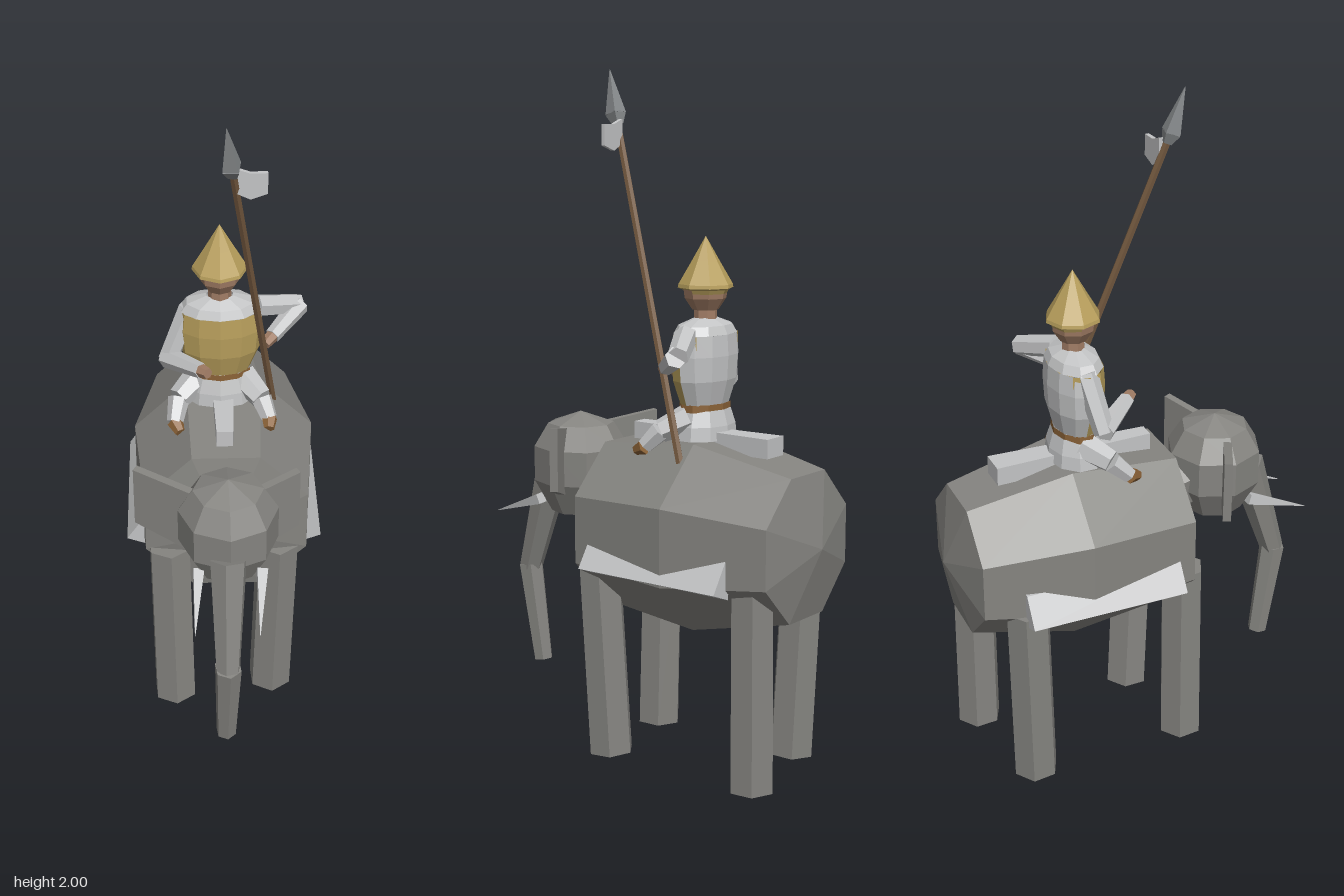
import * as THREE from 'three';

const mat = (name, color, side = THREE.FrontSide) =>
  new THREE.MeshStandardMaterial({ name, color, side, flatShading: true });

export function createModel() {
  const hide = mat('elephantGrey', 0x858480);
  const cloth = mat('paleCloth', 0xc3c4c5, THREE.DoubleSide);
  const gold = mat('gold', 0xb89f5c, THREE.DoubleSide);
  const skin = mat('skin', 0xa07c64);
  const leather = mat('leather', 0x8c6338);
  const wood = mat('wood', 0x755a40);
  const steel = mat('steel', 0x85888a);

  const root = new THREE.Group();
  root.name = 'elephantRider';
  const V = (p) => new THREE.Vector3(...p);

  const add = (parent, name, geometry, material, pos = [0, 0, 0]) => {
    const mesh = new THREE.Mesh(geometry, material);
    mesh.name = name;
    mesh.position.set(...pos);
    parent.add(mesh);
    return mesh;
  };
  // Tapered prism running from a to b
  const limb = (name, a, b, ra, rb, material, sides = 6) => {
    const d = V(b).sub(V(a));
    const mesh = add(root, name, new THREE.CylinderGeometry(rb, ra, d.length(), sides), material);
    mesh.position.copy(V(a)).addScaledVector(d, 0.5);
    mesh.quaternion.setFromUnitVectors(new THREE.Vector3(0, 1, 0), d.normalize());
    return mesh;
  };
  const lathe = (pts, sides, start = 0, sweep = Math.PI * 2) =>
    new THREE.LatheGeometry(pts.map(([r, y]) => new THREE.Vector2(r, y)), sides, start, sweep);
  // Profile in x/y extruded along z
  const prism = (pts, z0, z1) => {
    const shape = new THREE.Shape(pts.map(([x, y]) => new THREE.Vector2(x, y)));
    return new THREE.ExtrudeGeometry(shape, { depth: z1 - z0, bevelEnabled: false }).translate(0, 0, z0);
  };

  // Mount frame: z forward, x to its left
  const mount = new THREE.Group();
  mount.name = 'mount';
  mount.rotation.y = 0.963;
  root.add(mount);

  // Barrel body with flat octagonal sections
  const bodyGeo = lathe([[0, -0.54], [0.222, -0.49], [0.292, -0.18], [0.258, 0.15], [0, 0.2]], 8, Math.PI / 8);
  add(mount, 'body', bodyGeo.rotateX(Math.PI / 2), hide, [-0.02, 0.69, 0]);

  // Side panels
  for (const s of [-1, 1]) {
    const pts = [[s * 0.22, 0.565], [s * 0.29, 0.592], [s * 0.235, 0.675], [s * 0.22, 0.675]];
    add(mount, s < 0 ? 'rightPanel' : 'leftPanel', prism(pts, -0.375, 0.1), cloth, [-0.025, 0, 0]);
  }
  // Saddle strip, narrowing toward the front
  const saddle = new THREE.BoxGeometry(0.08, 0.055, 0.48);
  const sp = saddle.attributes.position;
  for (let i = 0; i < sp.count; i++) if (sp.getZ(i) > 0) sp.setX(i, sp.getX(i) * 0.6);
  add(mount, 'saddle', saddle, cloth, [-0.022, 0.957, -0.14]);

  // Legs: foot [x, z] then top [x, z]
  [
    ['backRightLeg', -0.385, -0.035, -0.412, -0.03],
    ['backLeftLeg', -0.265, -0.33, -0.262, -0.33],
    ['frontRightLeg', 0.02, 0.235, 0.008, 0.235],
    ['frontLeftLeg', 0.15, -0.04, 0.182, -0.035],
  ].forEach(([n, x, z, tx, tz]) => limb(n, [x, 0.005, z], [tx, 0.6, tz], 0.068, 0.066, hide));

  // Head, neck, ears
  add(root, 'head', lathe([[0, 0.67], [0.09, 0.685], [0.142, 0.78], [0.142, 0.885], [0.1, 0.955], [0, 0.99]], 8, 0.2),
    hide, [0.255, 0, 0.2]);
  limb('neck', [0.12, 0.77, 0.09], [0.24, 0.82, 0.19], 0.09, 0.08, hide);
  const ear = (name, [ax, az], [bx, bz]) => {
    const len = Math.hypot(bx - ax, bz - az);
    const shape = [[0, 0.78], [len, 0.735], [len, 0.945], [0, 0.97]];
    const mesh = add(root, name, prism(shape, -0.012, 0.012), hide, [ax, 0, az]);
    mesh.rotation.y = -Math.atan2(bz - az, bx - ax);
  };
  ear('rightEar', [0.037, 0.365], [0.19, 0.28]);
  ear('leftEar', [0.318, 0.002], [0.295, 0.15]);

  // Trunk and tusks
  limb('upperTrunk', [0.345, 0.8, 0.265], [0.428, 0.47, 0.328], 0.055, 0.036, hide);
  limb('lowerTrunk', [0.428, 0.48, 0.328], [0.39, 0.175, 0.308], 0.04, 0.03, hide);
  limb('leftTusk', [0.375, 0.725, 0.17], [0.525, 0.658, 0.29], 0.022, 0.001, cloth, 4);
  limb('rightTusk', [0.27, 0.725, 0.315], [0.42, 0.658, 0.435], 0.022, 0.001, cloth, 4);

  // Rider, facing the same way as the mount
  const rider = new THREE.Group();
  rider.name = 'rider';
  rider.position.set(-0.03, 0, -0.132);
  mount.add(rider);
  const slim = (m, z = 0.65) => { m.scale.z = z; return m; };
  const vest = [[0.09, 1.06], [0.118, 1.13], [0.124, 1.2], [0.118, 1.26]];
  slim(add(rider, 'breastplate', lathe(vest, 6, -Math.PI / 2, Math.PI), gold));
  slim(add(rider, 'backOfTunic', lathe(vest, 6, Math.PI / 2, Math.PI), cloth));
  for (const s of [-1, 1]) {
    const pts = [[0.121, 1.2], [0.121, 1.26]];
    slim(add(rider, 'shoulderTrim', lathe(pts, 1, s * 1.85 - 0.3, 0.6), gold));
  }
  slim(add(rider, 'shoulders', lathe([[0.118, 1.26], [0.1, 1.285], [0.04, 1.305]], 10), cloth));
  slim(add(rider, 'belt', lathe([[0.092, 1.04], [0.092, 1.062]], 10), leather), 0.68);
  slim(add(rider, 'skirt', lathe([[0.11, 0.96], [0.105, 1.0], [0.088, 1.045]], 10), cloth), 0.75);
  add(rider, 'neck', new THREE.CylinderGeometry(0.032, 0.034, 0.05, 8), skin, [0, 1.315, 0]);
  add(rider, 'face', lathe([[0, 1.322], [0.038, 1.327], [0.06, 1.36], [0.064, 1.39]], 8), skin);
  add(rider, 'helmet', lathe([[0.07, 1.385], [0.08, 1.39], [0.078, 1.4], [0.04, 1.465], [0, 1.535]], 8), gold);
  add(rider, 'neckGuard', lathe([[0.045, 1.34], [0.07, 1.39]], 4, Math.PI / 2, Math.PI), gold);

  // Arms and hands
  limb('rightUpperArm', [-0.175, 1.26, 0.02], [-0.19, 1.1, 0.09], 0.034, 0.03, cloth);
  limb('rightForearm', [-0.195, 1.105, 0.09], [-0.045, 1.135, 0.075], 0.032, 0.023, cloth);
  limb('rightHand', [-0.045, 1.135, 0.075], [-0.015, 1.14, 0.072], 0.02, 0.016, skin);
  limb('leftUpperArm', [-0.072, 1.26, -0.14], [-0.055, 1.22, -0.285], 0.034, 0.03, cloth);
  limb('leftForearm', [-0.05, 1.22, -0.285], [-0.018, 1.175, -0.16], 0.031, 0.023, cloth);
  limb('leftHand', [-0.018, 1.175, -0.16], [-0.008, 1.165, -0.125], 0.02, 0.016, skin);

  // Legs and shoes
  const riderLeg = (side, hip, knee, ankle, toe) => {
    limb(side + 'Thigh', hip, knee, 0.045, 0.034, cloth);
    limb(side + 'Shin', knee, ankle, 0.032, 0.024, cloth);
    limb(side + 'Shoe', ankle, toe, 0.024, 0.016, leather);
  };
  riderLeg('right', [-0.16, 1.02, 0.0], [-0.145, 0.985, 0.085], [-0.11, 0.935, 0.125], [-0.075, 0.92, 0.13]);
  riderLeg('left', [-0.08, 1.02, -0.1], [0.0, 0.985, -0.11], [0.045, 0.94, -0.105], [0.07, 0.925, -0.085]);

  // Spear with pennant
  limb('spearShaft', [-0.06, 0.9, -0.2], [0.137, 1.87, 0.1], 0.012, 0.011, wood);
  limb('spearSocket', [0.131, 1.845, 0.092], [0.138, 1.875, 0.102], 0.016, 0.03, steel, 4);
  limb('spearTip', [0.138, 1.875, 0.102], [0.157, 2.0, 0.132], 0.03, 0.001, steel, 4);
  const flag = add(root, 'pennant',
    prism([[0, 1.79], [0.04, 1.77], [0.085, 1.785], [0.085, 1.845], [0.04, 1.845], [0, 1.86]], -0.006, 0.006),
    cloth, [0.122, 0, 0.08]);
  flag.rotation.y = Math.atan2(0.07, 0.045);

  return root;
}
